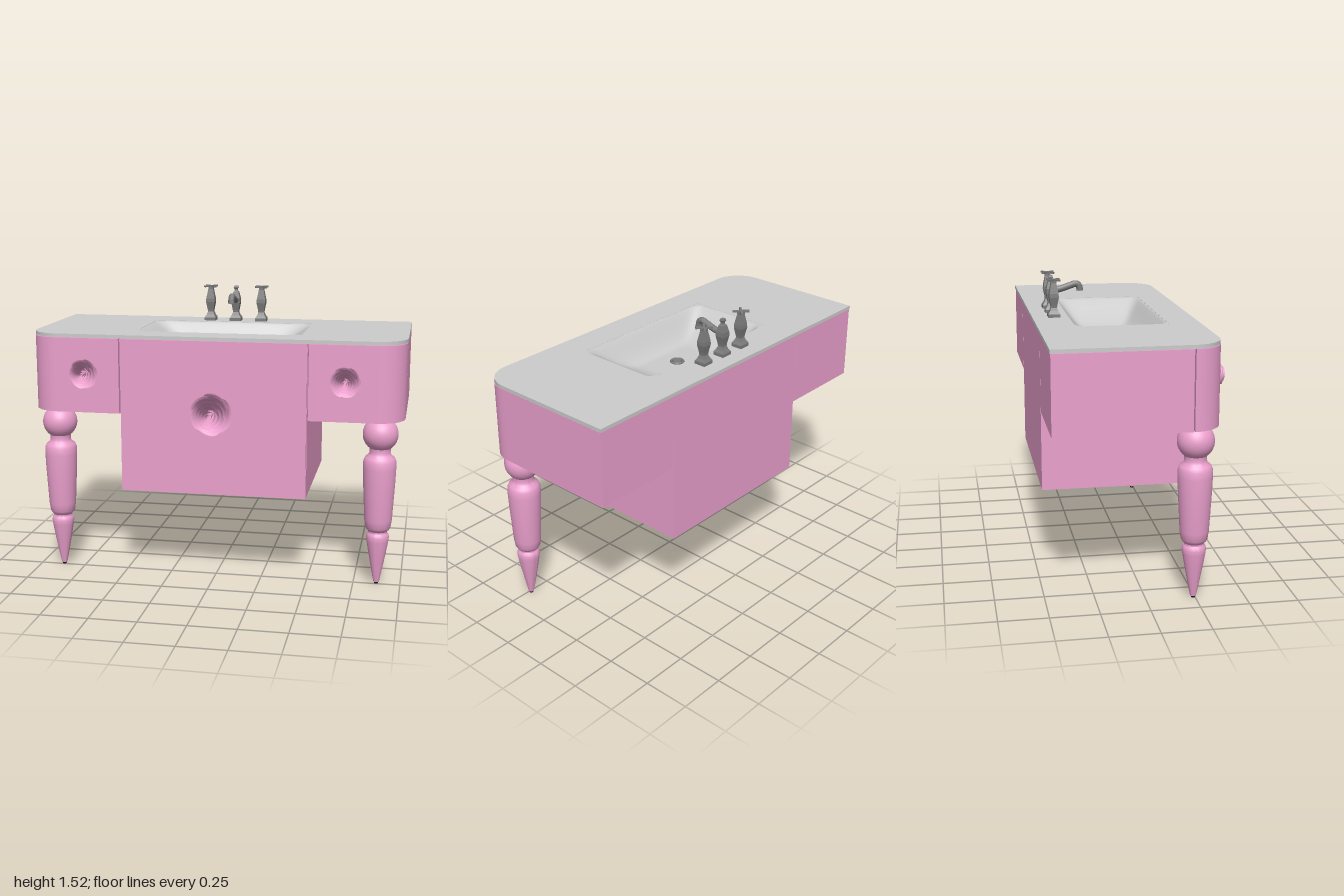
import * as THREE from 'three';
import { toCreasedNormals } from 'three/addons/utils/BufferGeometryUtils.js';
import { ParametricGeometry } from 'three/addons/geometries/ParametricGeometry.js';

const V2 = (x, y) => new THREE.Vector2(x, y);
const mat = (color, extra = {}) => new THREE.MeshStandardMaterial({ color, ...extra });
const pink = mat(0xeba0cd);
const petalPink = mat(0xeba0cd, { side: THREE.DoubleSide });
const stone = mat(0xc4c4c4);
const ceramic = mat(0xdedede, { side: THREE.DoubleSide });
const metal = mat(0x7c7c7c);
const facetedMetal = mat(0x7c7c7c, { flatShading: true });
const black = mat(0x1c1c1c);

const BACK = -0.477, FRONT = 0.355, CORNER = 0.16, TOP = 1.3;
const BASIN = { x: 0.45, z: 0.24, cz: -0.05, depth: 0.135 };

function add(parent, name, geometry, material, x = 0, y = 0, z = 0) {
  const mesh = new THREE.Mesh(geometry, material);
  mesh.name = name;
  mesh.position.set(x, y, z);
  parent.add(mesh);
  return mesh;
}

// Box given by its limits
function block(parent, name, x0, x1, y0, y1, z0, z1, material = pink) {
  return add(parent, name, new THREE.BoxGeometry(x1 - x0, y1 - y0, z1 - z0), material,
    (x0 + x1) / 2, (y0 + y1) / 2, (z0 + z1) / 2);
}

// Plan outline (x, z) pushed down from y = 0
function slab(shape, height) {
  const g = new THREE.ExtrudeGeometry(shape, { depth: height, bevelEnabled: false, curveSegments: 16 });
  return toCreasedNormals(g.rotateX(Math.PI / 2), 0.5);
}

// Rectangle in plan with rounded front corners
function plan(x0, x1, z0, z1, rLeft, rRight) {
  const s = new THREE.Shape();
  s.moveTo(x0, z0);
  s.lineTo(x1, z0);
  s.lineTo(x1, z1 - rRight);
  if (rRight) s.absarc(x1 - rRight, z1 - rRight, rRight, 0, Math.PI / 2, false);
  s.lineTo(x0 + rLeft, z1);
  if (rLeft) s.absarc(x0 + rLeft, z1 - rLeft, rLeft, Math.PI / 2, Math.PI, false);
  s.lineTo(x0, z0);
  return s;
}

function basinHole() {
  const { x, z, cz } = BASIN;
  return new THREE.Path([V2(-x, cz - z), V2(-x, cz + z), V2(x, cz + z), V2(x, cz - z)]);
}

// Sloped basin with softly rounded ridges
function basinGeometry() {
  return new ParametricGeometry((u, v, p) => {
    const a = 2 * u - 1, b = 1 - 2 * v;
    const t = Math.pow(Math.pow(a, 10) + Math.pow(b, 10), 0.1);
    const k = THREE.MathUtils.clamp((1 - t) / 0.62, 0, 1);
    const drop = Math.pow(Math.sin(k * Math.PI / 2), 1.15);
    p.set(BASIN.x * a, -BASIN.depth * drop, BASIN.cz + BASIN.z * b);
  }, 60, 60);
}

// Rose facing +z: nested rings of cupped petals around a bud
function rose(name, radius) {
  const g = new THREE.Group();
  g.name = name;
  const rings = [ // petals, radius, tip height, start angle
    [6, 0.86, 0.36, 0.2], [5, 0.78, 0.6, 0.8], [5, 0.6, 0.8, 0.3],
    [4, 0.43, 0.95, 1.1], [3, 0.27, 1.05, 0.5], [2, 0.13, 1.08, 0],
  ];
  for (const [count, R, H, start] of rings) {
    const petal = new ParametricGeometry((s, v, p) => {
      const u = 2 * s - 1;
      const w = v * (1 - 0.22 * u ** 4);
      const r = R * (Math.pow(Math.sin(w * Math.PI / 2), 0.6) + 0.14 * w ** 6) * (1 + 0.09 * u);
      const angle = u * 0.72 * 2 * Math.PI / count;
      const z = H * (Math.pow(w, 1.4) - 0.12 * w ** 8);
      p.set(r * Math.cos(angle), r * Math.sin(angle), z).multiplyScalar(radius);
    }, 12, 10);
    for (let i = 0; i < count; i++) {
      const m = add(g, 'petal', petal, petalPink);
      m.rotation.z = start + i * 2 * Math.PI / count;
    }
  }
  return g;
}

// Turned leg profile: pointed foot, collar, long barrel, neck and ball
function legGeometry() {
  const pts = [[0, 0.01], [0.015, 0.01], [0.03, 0.085], [0.047, 0.175], [0.058, 0.24], [0.061, 0.265],
    [0.057, 0.278], [0.05, 0.288], [0.05, 0.296], [0.06, 0.306], [0.067, 0.318], [0.073, 0.36],
    [0.084, 0.56], [0.087, 0.64], [0.086, 0.678], [0.078, 0.698], [0.06, 0.712], [0.055, 0.725], [0.056, 0.745]]
    .map(([r, y]) => V2(r, y));
  for (let i = 0; i <= 12; i++) {
    const a = -0.92 + i * (0.92 + 1.02) / 12;
    pts.push(V2(0.093 * Math.cos(a), 0.822 + 0.093 * Math.sin(a)));
  }
  return toCreasedNormals(new THREE.LatheGeometry(pts, 40), 0.6);
}

// Square tapered post, from [half width, height] pairs
function squarePost(profile) {
  const pts = profile.map(([h, y]) => V2(h * Math.SQRT2, y));
  return new THREE.LatheGeometry(pts, 4).rotateY(Math.PI / 4).toNonIndexed();
}

const POST = [[0, 0], [0.032, 0], [0.032, 0.018], [0.022, 0.034], [0.016, 0.05], [0.017, 0.062], [0.025, 0.105]];

function handle(x) {
  const g = new THREE.Group();
  g.name = 'tapHandle';
  g.position.set(x, 1.32, -0.365);
  add(g, 'handlePost', squarePost([...POST, [0.024, 0.125], [0.014, 0.18], [0.014, 0.192], [0, 0.192]]), facetedMetal);
  for (const s of [-1, 1]) {
    add(g, 'crossArm', new THREE.BoxGeometry(0.088, 0.01, 0.012), metal, 0, 0.196, 0).rotation.y = s * Math.PI / 4;
  }
  return g;
}

function spout() {
  const g = new THREE.Group();
  g.name = 'spout';
  g.position.set(0, 1.32, -0.365);
  add(g, 'spoutPost', squarePost([...POST, [0.024, 0.13], [0.015, 0.165], [0.009, 0.172], [0.008, 0.182],
    [0.013, 0.19], [0.01, 0.2], [0, 0.202]]), facetedMetal);
  // Arm rising forward and turning down at the nozzle
  const path = new THREE.CatmullRomCurve3([[0.118, 0], [0.126, 0.05], [0.145, 0.11], [0.152, 0.135],
    [0.145, 0.152], [0.12, 0.158]].map(([y, z]) => new THREE.Vector3(0, y, z)));
  add(g, 'spoutArm', new THREE.TubeGeometry(path, 20, 0.018, 10), metal);
  add(g, 'nozzle', new THREE.CylinderGeometry(0.018, 0.019, 0.008, 10), metal, 0, 0.119, 0.158);
  return g;
}

export function createModel() {
  const model = new THREE.Group();
  model.name = 'washstand';

  // Countertop with basin opening
  const top = plan(-1, 1, -0.48, FRONT, CORNER, CORNER);
  top.holes.push(basinHole());
  add(model, 'countertop', slab(top, 0.019), stone, 0, 1.321, 0);
  add(model, 'basin', basinGeometry(), ceramic, 0, 1.32, 0);
  const drainY = 1.32 - BASIN.depth;
  add(model, 'drainRing', new THREE.TorusGeometry(0.032, 0.007, 8, 28).rotateX(Math.PI / 2), metal, 0, drainY + 0.003, -0.056);
  add(model, 'drainPlug', new THREE.CylinderGeometry(0.024, 0.026, 0.012, 24), metal, 0, drainY + 0.005, -0.056);

  // Middle cabinet, hollow around the basin, with its front panel
  block(model, 'middleCabinet', -0.497, 0.497, 0.48, 1.15, BACK, 0.33);
  const collar = plan(-0.497, 0.497, BACK, 0.33, 0, 0);
  collar.holes.push(basinHole());
  add(model, 'middleCabinetTop', slab(collar, TOP - 1.15), pink, 0, TOP, 0);
  block(model, 'frontPanel', -0.495, 0.495, 0.48, TOP, 0.336, FRONT);

  // Side cabinets, curved drawer fronts, legs
  const leg = legGeometry();
  for (const s of [-1, 1]) {
    const side = s > 0 ? 'left' : 'right';
    const [x0, x1] = s > 0 ? [0.503, 0.998] : [-0.998, -0.503];
    block(model, side + 'Cabinet', x0, x1, 0.9, TOP, BACK, 0.199);
    const drawer = plan(x0, x1, 0.206, FRONT, s < 0 ? 0.149 : 0, s > 0 ? 0.149 : 0);
    add(model, side + 'DrawerFront', slab(drawer, 0.4), pink, 0, TOP, 0);
    add(model, side + 'Leg', leg, pink, s * 0.873, 0, 0.24);
    add(model, side + 'FootTip', new THREE.CylinderGeometry(0.012, 0.01, 0.012, 16), black, s * 0.873, 0.006, 0.24);
    const knob = rose(side + 'RoseKnob', 0.08);
    knob.position.set(s * 0.693, 1.11, 0.345);
    knob.rotation.z = s * 0.4;
    model.add(knob, handle(s * 0.147));
  }

  const middleRose = rose('middleRose', 0.113);
  middleRose.position.set(0, 0.92, 0.352);
  model.add(middleRose, spout());
  return model;
}
